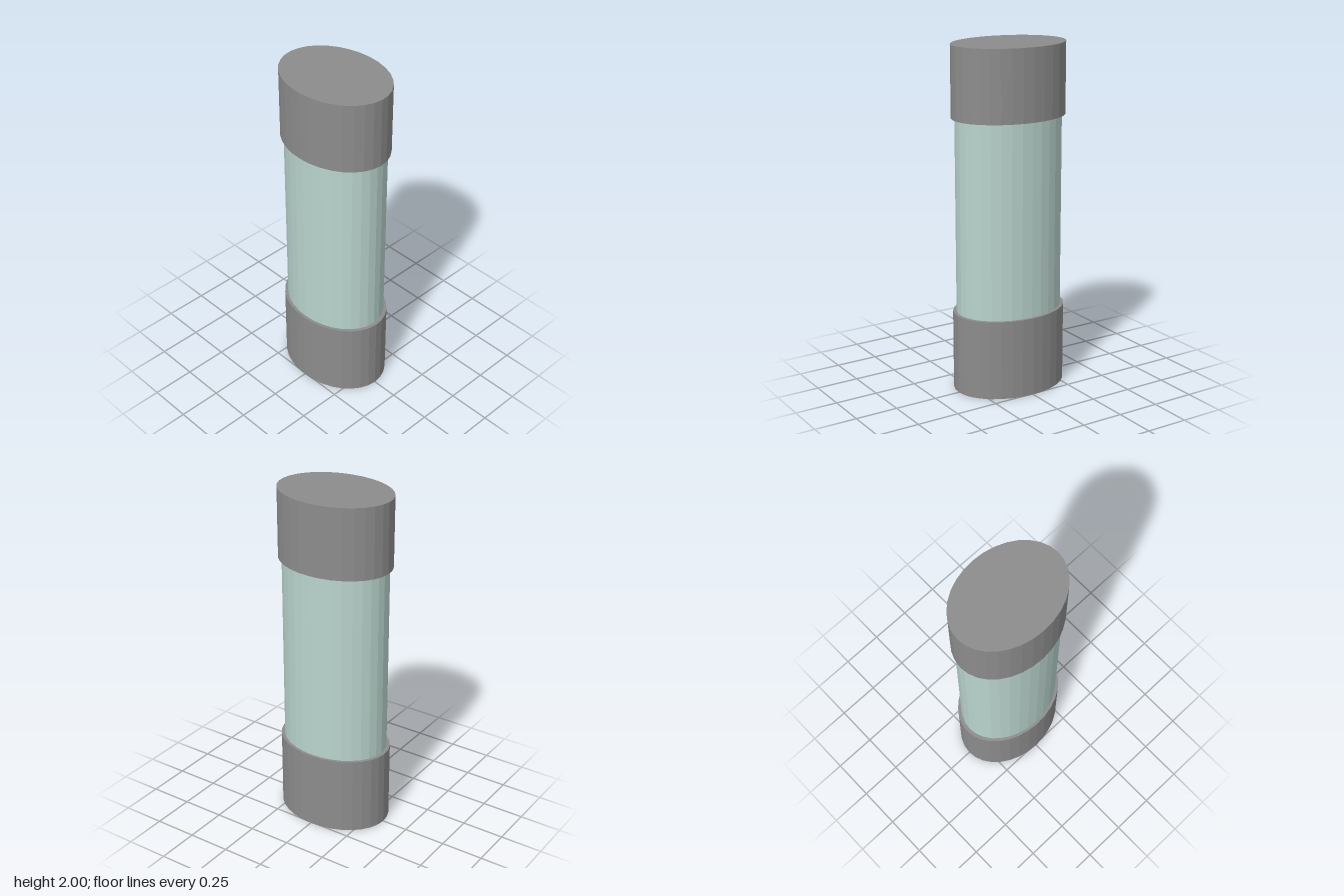
import * as THREE from 'three';

export function createModel() {
  const model = new THREE.Group();
  model.name = 'fuse';

  const metal = new THREE.MeshStandardMaterial({ color: 0x8c8c8c, flatShading: true });
  metal.name = 'grey metal';
  const glass = new THREE.MeshStandardMaterial({ color: 0xb9d3cc, flatShading: true });
  glass.name = 'pale green glass';

  // Upright faceted cylinder with an oval cross-section
  function ovalCylinder(name, rx, rz, bottom, top, material) {
    const geometry = new THREE.CylinderGeometry(1, 1, top - bottom, 32);
    geometry.scale(rx, 1, rz);
    geometry.translate(0, (bottom + top) / 2, 0);
    const mesh = new THREE.Mesh(geometry, material);
    mesh.name = name;
    model.add(mesh);
  }

  // Glass body, its ends seated inside the caps
  ovalCylinder('glassTube', 0.322, 0.243, 0.4, 1.65, glass);

  // Metal end caps
  ovalCylinder('bottomCap', 0.343, 0.259, 0, 0.465, metal);
  ovalCylinder('topCap', 0.343, 0.259, 1.59, 2, metal);

  return model;
}
